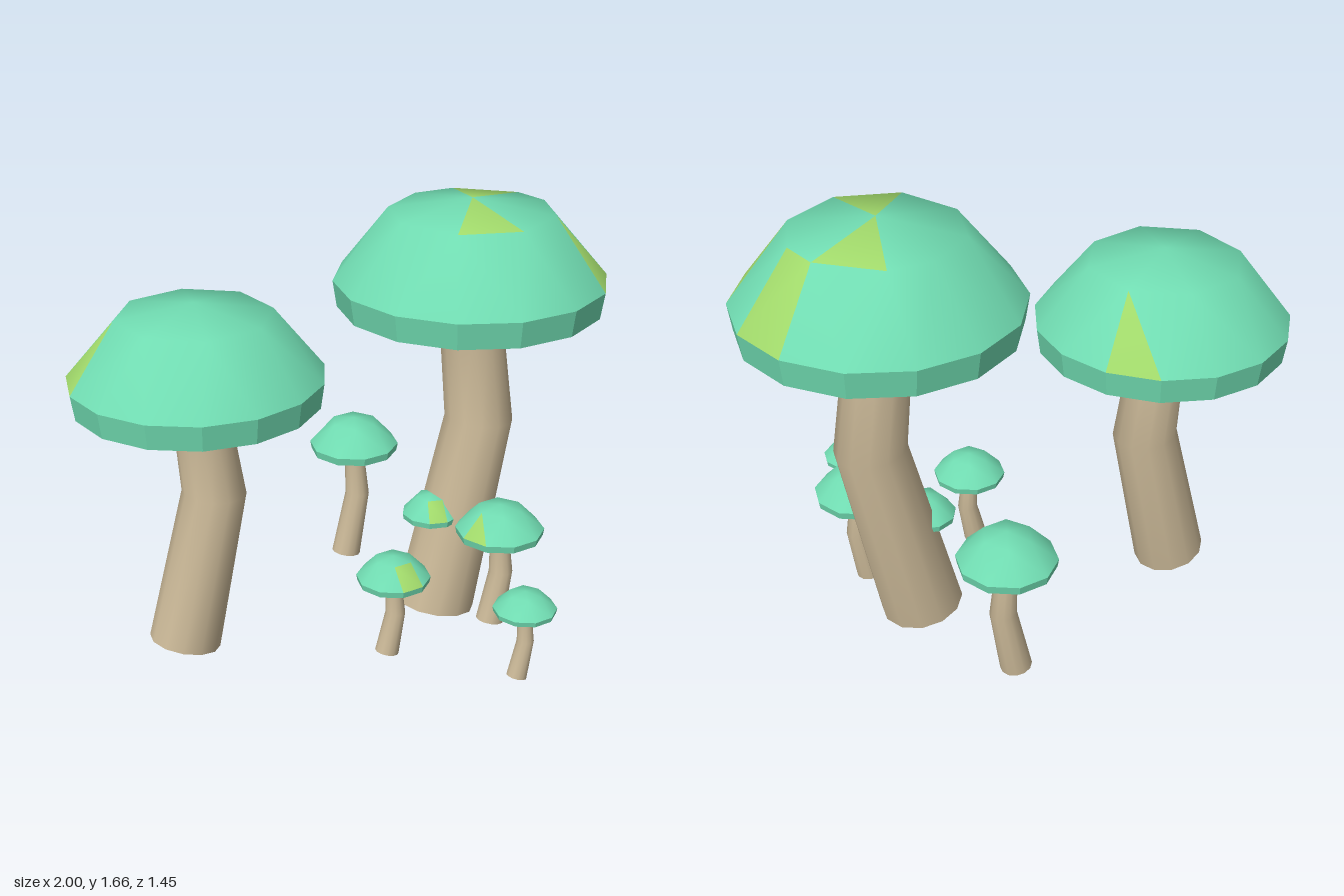
import * as THREE from 'three';

const mat = (name, color) => Object.assign(new THREE.MeshStandardMaterial({ color }), { name });
const capGreen = mat('capGreen', 0x70dbb1);
const patchYellow = mat('patchYellow', 0xa0d86a);
const stemTan = mat('stemTan', 0xcbb998);

// Evenly spaced angles in degrees
const even = (n, start) => Array.from({ length: n }, (_, i) => start + (i * 360) / n);

function mesh(name, points, faces, material, flat = false) {
  let g = new THREE.BufferGeometry();
  g.setAttribute('position', new THREE.Float32BufferAttribute(points.flat(), 3));
  g.setIndex(faces.flat());
  if (flat) g = g.toNonIndexed();
  g.computeVertexNormals();
  const m = new THREE.Mesh(g, material);
  m.name = name;
  return m;
}

// Ring of points at the given angles, from +x towards +z
const ring = (angles, x, y, z, r) => angles.map((d) => {
  const a = THREE.MathUtils.degToRad(d);
  return [x + r * Math.cos(a), y, z + r * Math.sin(a)];
});

// Dome: a fan above the shoulder ring, stitched to the wider rim ring.
// paint lists the yellow faces: top fan, shoulder edge and rim edge indices.
function makeDome({ x, z, r, rs, y, rim, shoulder, paint }) {
  const n = shoulder.length, m = rim.length;
  const points = [[x, y[3], z], ...ring(shoulder, x, y[2], z, rs), ...ring(rim, x, y[1], z, r)];
  const S = (i) => 1 + (i % n), R = (j) => 1 + n + (j % m);
  const at = (list, i) => list[i % list.length] + 360 * Math.floor(i / list.length);
  const mid = (list, i) => (at(list, i) + at(list, i + 1)) / 2;
  const green = [], yellow = [];
  const add = (kind, i, face) => (paint[kind]?.includes(i) ? yellow : green).push(face);
  for (let i = 0; i < n; i++) add('top', i, [0, S(i + 1), S(i)]);
  for (let i = 0, j = 0; i < n || j < m;) {
    if (i === n || (j < m && mid(rim, j) < mid(shoulder, i))) {
      add('rim', j, [S(i), R(j + 1), R(j)]);
      j++;
    } else {
      add('shoulder', i, [S(i), S(i + 1), R(j)]);
      i++;
    }
  }
  const dome = mesh('capDome', points, [...green, ...yellow], [capGreen, patchYellow]);
  dome.geometry.addGroup(0, green.length * 3, 0);
  dome.geometry.addGroup(green.length * 3, yellow.length * 3, 1);
  return dome;
}

// Slightly tapered band under the dome and the flat underside
function makeRim({ x, z, r, y, rim }) {
  const m = rim.length;
  const points = [...ring(rim, x, y[1], z, r), ...ring(rim, x, y[0], z, r * 0.97), [x, y[0], z]];
  const faces = [];
  for (let j = 0; j < m; j++) {
    const k = (j + 1) % m;
    faces.push([j, k, m + k], [j, m + k, m + j], [m + j, m + k, 2 * m]);
  }
  return mesh('capRim', points, faces, capGreen, true);
}

// Bent stem through sections [centre x, centre y, half width, half tilt]
function makeStem({ z, stem }) {
  const N = 12, points = [], faces = [], base = [], group = new THREE.Group();
  for (const [cx, cy, half, tilt] of stem) {
    for (let k = 0; k < N; k++) {
      const a = (k / N) * Math.PI * 2;
      points.push([cx + half * Math.cos(a), cy - tilt * Math.cos(a), z + half * Math.sin(a)]);
    }
  }
  for (let s = 0; s < stem.length - 1; s++) {
    for (let k = 0; k < N; k++) {
      const a = s * N + k, b = s * N + ((k + 1) % N);
      faces.push([a, a + N, b], [b, a + N, b + N]);
    }
  }
  for (let k = 1; k < N - 1; k++) base.push([0, k, k + 1]);
  group.add(mesh('stemSide', points, faces, stemTan), mesh('stemBase', points.slice(0, N), base, stemTan));
  group.name = 'stem';
  return group;
}

// y: underside, rim, shoulder and apex heights; r, rs: rim and shoulder radii
const tall = {
  name: 'tallMushroom', x: 0.49, z: -0.03, r: 0.512, rs: 0.31, y: [1.26, 1.36, 1.615, 1.665],
  rim: even(14, -75), shoulder: [-68, -20, 6, 46, 90, 135, 180, 222, 262],
  paint: { top: [0, 4], shoulder: [1], rim: [2, 4] },
  stem: [[0.358, 0.028, 0.153, 0.028], [0.548, 0.785, 0.132, 0.015], [0.492, 1.265, 0.118, 0]],
};
const wide = {
  name: 'wideMushroom', x: -0.535, z: -0.267, r: 0.467, rs: 0.285, y: [1.015, 1.11, 1.34, 1.385],
  rim: even(15, -77), shoulder: even(8, -72),
  paint: { rim: [1, 11] },
  stem: [[-0.633, 0.043, 0.132, 0.033], [-0.485, 0.635, 0.12, 0.01], [-0.533, 1.02, 0.103, 0]],
};

// Small mushrooms share one set of proportions between underside and apex height
function small(name, x, z, r, under, apex, paint = {}, turn = 0) {
  const rise = apex - under;
  return {
    name, x, z, r, rs: r * 0.51, paint,
    y: [under, under + rise * 0.22, apex - rise * 0.1, apex],
    rim: even(10, turn), shoulder: even(6, turn),
    stem: [
      [x - under * 0.08, 0.042, r * 0.32, 0.01],
      [x + under * 0.03, under * 0.6, r * 0.27, 0.004],
      [x, under + 0.005, r * 0.21, 0],
    ],
  };
}

const stripe = { shoulder: [1], rim: [2] };
const mushrooms = [
  tall,
  wide,
  small('backSmallMushroom', 0.305, -0.55, 0.18, 0.505, 0.645),
  small('middleSmallMushroom', 0, 0.21, 0.138, 0.335, 0.44, stripe),
  small('sideSmallMushroom', 0.475, 0.225, 0.17, 0.405, 0.53, { rim: [4] }),
  small('frontSmallMushroom', 0.305, 0.61, 0.117, 0.305, 0.39, { shoulder: [4], rim: [7] }),
  small('innerSmallMushroom', 0.335, -0.03, 0.115, 0.41, 0.51, stripe, 20),
];

export function createModel() {
  const model = new THREE.Group();
  model.name = 'mushroomCluster';
  for (const spec of mushrooms) {
    const mushroom = new THREE.Group();
    mushroom.name = spec.name;
    mushroom.add(makeDome(spec), makeRim(spec), makeStem(spec));
    model.add(mushroom);
  }
  return model;
}
